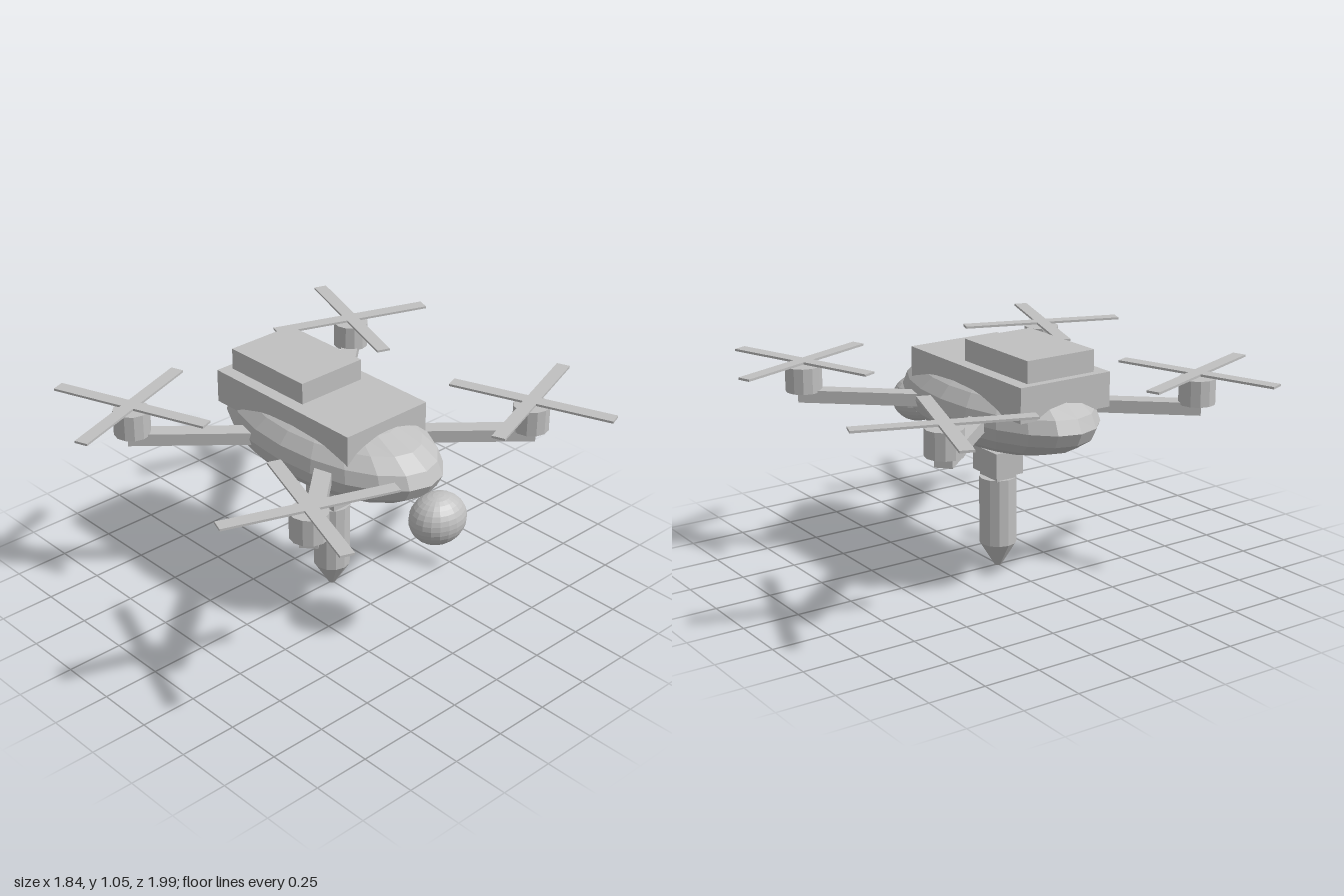
import * as THREE from 'three';

export function createModel() {
  const model = new THREE.Group();
  model.name = 'quadcopter';
  const grey = new THREE.MeshStandardMaterial({ color: 0xc0c0c0, flatShading: true });
  grey.name = 'light grey';

  const add = (name, geometry, x, y, z, parent = model) => {
    const mesh = new THREE.Mesh(geometry, grey);
    mesh.name = name;
    mesh.position.set(x, y, z);
    parent.add(mesh);
    return mesh;
  };
  const box = (w, h, d) => new THREE.BoxGeometry(w, h, d);
  const ellipsoid = (rx, ry, rz, rows) => new THREE.SphereGeometry(1, 20, rows).scale(rx, ry, rz);

  // Hull, nose sensor and stacked deck boxes
  add('hull', ellipsoid(0.595, 0.185, 0.31, 10), 0, 0.752, 0);
  add('noseSensor', ellipsoid(0.11, 0.11, 0.13, 16), 0.635, 0.62, 0);
  add('deck', box(0.82, 0.15, 0.45), -0.075, 0.88, 0);
  add('batteryPack', box(0.45, 0.095, 0.335), -0.225, 1.0025, 0);

  // Hanging probe: mount, neck and pointed canister
  add('probeMount', box(0.18, 0.11, 0.14), 0, 0.49, 0);
  add('probeNeck', box(0.13, 0.04, 0.1), 0, 0.425, 0);
  const profile = [[0, 0], [0.015, 0], [0.082, 0.11], [0.082, 0.413], [0, 0.413]];
  add('probe', new THREE.LatheGeometry(profile.map(([r, y]) => new THREE.Vector2(r, y)), 12), 0, 0, 0);

  // Four arms, each with a motor and a crossed rotor
  const mx = 0.56, mz = 0.637;
  const armLength = 0.867;
  for (const sx of [-1, 1]) {
    for (const sz of [-1, 1]) {
      const unit = new THREE.Group();
      unit.name = (sz > 0 ? 'front' : 'back') + (sx > 0 ? 'Left' : 'Right') + 'RotorUnit';
      model.add(unit);

      const angle = Math.atan2(sz * mz, sx * mx);
      const arm = add('arm', box(armLength, 0.055, 0.075),
        Math.cos(angle) * armLength / 2, 0.7525, Math.sin(angle) * armLength / 2, unit);
      arm.rotation.y = -angle;

      add('motor', new THREE.CylinderGeometry(0.08, 0.08, 0.113, 12), sx * mx, 0.8275, sz * mz, unit);
      for (const turn of [0, Math.PI / 2]) {
        const blade = add('rotorBlade', box(0.744, 0.01, 0.06), sx * mx, 0.902, sz * mz, unit);
        blade.rotation.y = -sx * sz * THREE.MathUtils.degToRad(20) + turn;
      }
    }
  }
  return model;
}
